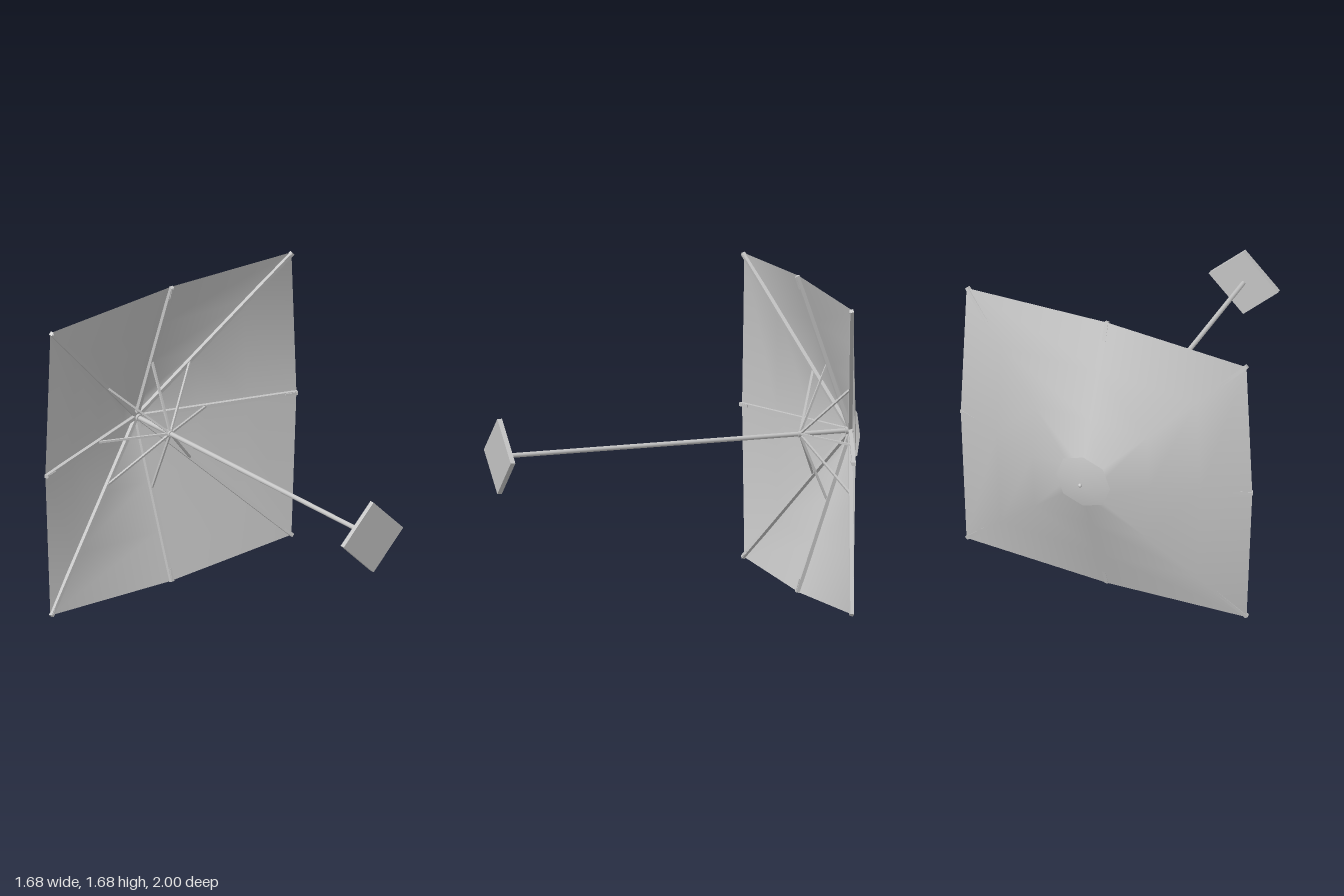
import * as THREE from 'three';

const grey = new THREE.MeshStandardMaterial({ color: 0xc4c4c4, side: THREE.DoubleSide });
grey.name = 'light grey';

const EDGE = 0.838;   // reach at the middle of a side
const CORNER = 1.138; // reach at a corner

function add(parent, name, geometry, x = 0, y = 0, z = 0) {
  const mesh = new THREE.Mesh(geometry, grey);
  mesh.name = name;
  mesh.position.set(x, y, z);
  parent.add(mesh);
  return mesh;
}

// Eight-sided cloth around the z axis; rings are [edge radius, corner radius, z]
function cloth(tipZ, rings) {
  const points = [0, 0, tipZ];
  const index = [];
  rings.forEach(([edge, corner, z], r) => {
    for (let k = 0; k < 8; k++) {
      const a = k * Math.PI / 4, radius = k % 2 ? corner : edge;
      points.push(radius * Math.cos(a), radius * Math.sin(a), z);
      const n = (k + 1) % 8, p = 1 + r * 8, q = p - 8;
      if (r === 0) index.push(0, p + n, p + k);
      else index.push(q + k, q + n, p + k, q + n, p + n, p + k);
    }
  });
  const g = new THREE.BufferGeometry();
  g.setAttribute('position', new THREE.Float32BufferAttribute(points, 3));
  g.setIndex(index);
  g.computeVertexNormals();
  return g;
}

// Square bar in the local xz plane
function bar(parent, name, x0, z0, x1, z1, width) {
  const dx = x1 - x0, dz = z1 - z0;
  const mesh = add(parent, name, new THREE.BoxGeometry(Math.hypot(dx, dz), width, width),
    (x0 + x1) / 2, 0, (z0 + z1) / 2);
  mesh.rotation.y = -Math.atan2(dz, dx);
}

function rod(radius, length, sides = 16) {
  return new THREE.CylinderGeometry(radius, radius, length, sides).rotateX(Math.PI / 2);
}

export function createModel() {
  const model = new THREE.Group();
  model.name = 'parasol';
  const parasol = new THREE.Group();
  parasol.name = 'parasolOnItsSide';
  parasol.position.y = 0.845;
  model.add(parasol);

  // Base and pole
  const base = add(parasol, 'base', new THREE.BoxGeometry(0.281, 0.281, 0.026), 0, 0, 0.987);
  base.rotation.z = Math.PI / 4;
  add(parasol, 'pole', rod(0.0125, 1.95), 0, 0, 0.005);

  // Canopy with straight slopes and a slightly softened peak
  const rings = [0.1, 0.4, 0.7, 1].map(t =>
    [EDGE * t, CORNER * t, -0.955 + 0.285 * (t - 0.1) / 0.9]);
  add(parasol, 'canopy', cloth(-0.97, rings));

  // Vent cap and finial
  add(parasol, 'ventCap', cloth(-0.986, [[0.155, 0.16, -0.952]]));
  add(parasol, 'finial', new THREE.SphereGeometry(0.011, 12, 8), 0, 0, -0.989);

  // Hubs on the pole
  add(parasol, 'runner', rod(0.017, 0.03), 0, 0, -0.68);
  add(parasol, 'topHub', rod(0.02, 0.03), 0, 0, -0.94);

  // Ribs and struts
  for (let k = 0; k < 8; k++) {
    const arm = new THREE.Group();
    arm.name = 'ribAssembly';
    arm.rotation.z = k * Math.PI / 4;
    parasol.add(arm);
    const reach = k % 2 ? CORNER : EDGE;
    bar(arm, 'rib', 0.015, -0.95, reach, -0.662, 0.02);
    const hold = k % 2 ? 0.39 : 0.36;
    const holdZ = -0.95 + 0.288 * hold / reach;
    bar(arm, 'strut', 0.012, -0.68, hold, holdZ, 0.011);
    bar(arm, 'ribTip', reach - 0.07, -0.676, reach - 0.006, -0.657, 0.012);
  }
  return model;
}
